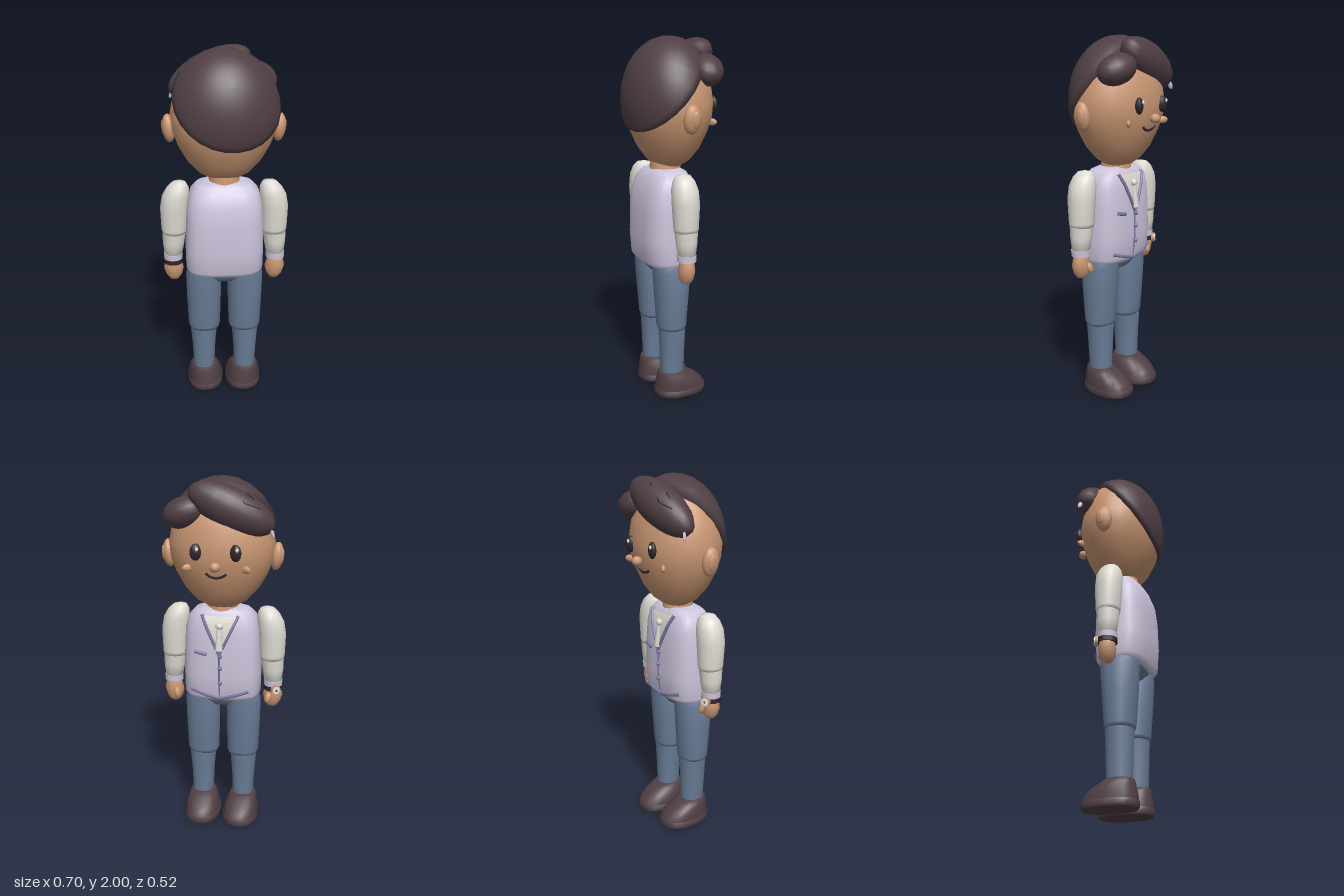
import * as THREE from 'three';

const mat = (name, color, side = THREE.FrontSide) => {
  const m = new THREE.MeshStandardMaterial({ color, side });
  m.name = name;
  return m;
};

export function createModel() {
  const group = new THREE.Group();
  const M = {
    skin: mat('skin', 0xcb9874),
    hair: mat('hair and shoes', 0x503f44),
    dark: mat('dark', 0x30262b),
    vest: mat('vest', 0xcdc5dc),
    trim: mat('vest trim', 0x7f7ba6),
    shirt: mat('shirt', 0xdedbd3, THREE.DoubleSide),
    trousers: mat('trousers', 0x687b95),
    white: mat('white', 0xf2f2f2),
  };

  const add = (name, geo, material, pos = [0, 0, 0], rot = [0, 0, 0], scale = [1, 1, 1]) => {
    const m = new THREE.Mesh(geo, material);
    m.name = name;
    m.position.set(...pos);
    m.rotation.set(...rot);
    m.scale.set(...scale);
    m.updateMatrixWorld(true);
    group.add(m);
    return m;
  };
  const ball = (name, material, pos, scale, rot, seg = 16) =>
    add(name, new THREE.SphereGeometry(1, seg, Math.ceil(seg * 0.7)), material, pos, rot, scale);

  // Closed surface from rings, ordered bottom to top
  const grid = (n, seg, fn) => {
    const p = [], idx = [];
    for (let i = 0; i < n; i++) {
      for (let j = 0; j < seg; j++) {
        p.push(...fn(i, (j / seg) * Math.PI * 2));
        if (i === n - 1) continue;
        const k = (j + 1) % seg, a = i * seg + j, c = i * seg + k;
        idx.push(a, a + seg, c, a + seg, c + seg, c);
      }
    }
    const g = new THREE.BufferGeometry();
    g.setAttribute('position', new THREE.Float32BufferAttribute(p, 3));
    g.setIndex(idx);
    g.computeVertexNormals();
    return g;
  };
  // Rows are [y, centre x, radius x, centre z, radius z]
  const loft = (rows, power = 2, seg = 16, side = 1) => grid(rows.length, seg, (i, a) => {
    const [y, x, rx, z, rz] = rows[i];
    const f = (v) => Math.sign(v) * Math.abs(v) ** (2 / power);
    return [x * side + rx * f(Math.cos(a)), y, z + rz * f(Math.sin(a))];
  });

  // Moves points along a direction until they rest on a mesh
  const hug = (mesh, pts, dir, lift) => pts.map((p) => {
    const d = new THREE.Vector3(...dir);
    const start = new THREE.Vector3(...p).addScaledVector(d, -1.5);
    const hit = new THREE.Raycaster(start, d).intersectObject(mesh)[0];
    return (hit ? hit.point : new THREE.Vector3(...p)).addScaledVector(d, -lift);
  });
  const tube = (name, pts, r, material, tension = 0.1) => add(name, new THREE.TubeGeometry(
    new THREE.CatmullRomCurve3(pts, false, 'catmullrom', tension), 16, r, 6), material);

  // Head; the face looks towards -z
  const headProfile = [[0.001, 1.3], [0.07, 1.305], [0.14, 1.345], [0.2, 1.41], [0.25, 1.5], [0.278, 1.58],
    [0.285, 1.66], [0.265, 1.77], [0.22, 1.86], [0.13, 1.93], [0.001, 1.96]];
  const head = add('head', loft(headProfile.map(([r, y]) => [y, 0, r, 0.012, r * 0.8]), 2, 28), M.skin);
  add('neck', new THREE.CylinderGeometry(0.08, 0.09, 0.1, 14), M.skin, [0, 1.3, 0.03]);
  ball('nose', M.skin, [0, 1.57, -0.232], [0.029, 0.026, 0.028], [0, 0, 0], 9);
  for (const s of [1, -1]) {
    ball('ear', M.skin, [s * 0.292, 1.585, 0.02], [0.034, 0.077, 0.048], [0, 0, s * -0.1], 14);
    ball('innerEar', M.skin, [s * 0.318, 1.585, 0.012], [0.012, 0.045, 0.026], [0, 0, s * -0.1], 10);
    ball('cheek', M.skin, [s * 0.15, 1.55, -0.172], [0.034, 0.02, 0.013], [0, s * 0.6, 0], 10);
    ball('eye', M.dark, [s * 0.103, 1.64, -0.206], [0.031, 0.044, 0.02], [0, s * 0.3, 0], 12);
    ball('eyeHighlight', M.white, [s * 0.103 - 0.009, 1.658, -0.224], [0.009, 0.011, 0.006], [0, 0, 0], 8);
  }
  tube('mouth', hug(head, [[-0.055, 1.528, 0], [-0.03, 1.512, 0], [0, 1.506, 0], [0.03, 1.512, 0],
    [0.055, 1.53, 0]], [0, 0, 1], 0.001), 0.007, M.dark, 0.5);

  // Hair: tilted cap with its rim turned inward, and two swept locks
  const tilt = new THREE.Quaternion().setFromUnitVectors(
    new THREE.Vector3(0, 1, 0), new THREE.Vector3(0.15, 0.65, 0.76).normalize());
  const capRows = 13;
  add('hairCap', grid(capRows, 24, (i, a) => {
    const t = 1.29 * (1 - Math.max(0, i - 1) / (capRows - 2)) + 1e-4;
    const d = new THREE.Vector3(Math.sin(t) * Math.cos(a), Math.cos(t), Math.sin(t) * Math.sin(a)).applyQuaternion(tilt);
    const r = (i === 0 ? 0.84 : 1) / Math.hypot(d.x / 0.3, d.y / 0.34, d.z / 0.25);
    return [d.x * r, 1.66 + d.y * r, 0.01 + d.z * r];
  }), M.hair);
  const lock = ball('largeHairLock', M.hair, [-0.07, 1.85, -0.125], [0.24, 0.108, 0.1], [0, 0.1, 0.43], 18);
  ball('smallHairLock', M.hair, [0.18, 1.825, -0.12], [0.115, 0.08, 0.09], [0, -0.2, -0.35], 16);
  const strands = [[[-0.22, 1.8, -0.165], [-0.15, 1.8, -0.195], [-0.04, 1.8, -0.17]],
    [[-0.185, 1.8, -0.15], [-0.15, 1.8, -0.148], [0.015, 1.8, -0.065]]];
  for (const pts of strands) tube('hairStrand', hug(lock, pts, [0, -1, 0], 0.001), 0.004, M.dark);
  ball('hairPin', M.vest, [-0.278, 1.73, -0.134], [0.008, 0.026, 0.013], [0.4, 0.5, -0.4], 8);

  // Vest
  const vest = add('vest', loft([[0.768, 0, 0.001, 0.05, 0.001], [0.77, 0, 0.19, 0.05, 0.115],
    [0.8, 0, 0.214, 0.05, 0.14], [0.92, 0, 0.216, 0.05, 0.15], [1.08, 0, 0.212, 0.05, 0.147],
    [1.18, 0, 0.205, 0.047, 0.138], [1.25, 0, 0.185, 0.04, 0.118], [1.285, 0, 0.15, 0.035, 0.095],
    [1.3, 0, 0.1, 0.035, 0.07], [1.301, 0, 0.001, 0.035, 0.001]], 3, 28), M.vest);
  const onVest = (pts, lift) => hug(vest, pts.map(([x, y]) => [x, y, 0]), [0, 0, 1], lift);
  const trimLine = (name, pts, r = 0.008) => tube(name, onVest(pts, 0.003), r, M.trim);

  // Shirt opening, laid over the vest row by row
  const rows = 8, panel = [], panelIdx = [];
  for (let i = 0; i <= rows; i++) {
    const y = 1.065 + (0.2 * i) / rows, w = 0.002 + (0.093 * i) / rows;
    for (const v of onVest([[-w, y], [0, y], [w, y]], 0.004)) panel.push(v.x, v.y, v.z);
    if (i === rows) continue;
    for (const k of [i * 3, i * 3 + 1]) panelIdx.push(k, k + 3, k + 1, k + 1, k + 3, k + 4);
  }
  const panelGeo = new THREE.BufferGeometry();
  panelGeo.setAttribute('position', new THREE.Float32BufferAttribute(panel, 3));
  panelGeo.setIndex(panelIdx);
  panelGeo.computeVertexNormals();
  add('shirtFront', panelGeo, M.shirt);
  ball('tieKnot', M.shirt, [0, 1.215, -0.095], [0.022, 0.02, 0.018], [0, 0, 0], 8);
  add('tie', new THREE.CylinderGeometry(0.012, 0.022, 0.12, 8), M.shirt, [0, 1.14, -0.105], [0.1, 0, 0], [1, 1, 0.6]);

  for (const s of [1, -1]) {
    const edge = onVest([[s * 0.1, 1.27], [s * 0.075, 1.215], [s * 0.04, 1.14], [0, 1.055]], 0.008);
    tube('lapelEdge', edge, 0.009, M.trim);
    trimLine('vestHem', [[s * 0.16, 0.835], [s * 0.08, 0.812], [0, 0.79]], 0.01);
  }
  trimLine('frontSeam', [[0, 1.055], [0, 0.92], [0, 0.79]], 0.005);
  trimLine('pocket', [[0.07, 1.05], [0.14, 1.062]], 0.01);
  for (const y of [1.045, 0.975, 0.89]) ball('button', M.trim, [-0.005, y, -0.105], [0.013, 0.013, 0.012], [0, 0, 0], 8);

  // Trousers top
  add('trouserSeat', loft([[0.72, 0, 0.001, 0.05, 0.001], [0.722, 0, 0.08, 0.05, 0.07],
    [0.76, 0, 0.16, 0.05, 0.1], [0.8, 0, 0.19, 0.05, 0.11]], 2.5, 18), M.trousers);

  // Limbs, mirrored
  for (const s of [1, -1]) {
    const limb = (name, material, r, power = 2, seg = 14) => add(name, loft(r, power, seg, s), material);
    limb('upperSleeve', M.shirt, [[0.985, 0.275, 0.001, 0.045, 0.001], [1.0, 0.276, 0.066, 0.045, 0.064],
      [1.02, 0.276, 0.071, 0.045, 0.067], [1.15, 0.274, 0.077, 0.046, 0.075], [1.22, 0.264, 0.074, 0.046, 0.073],
      [1.265, 0.252, 0.06, 0.046, 0.06], [1.292, 0.245, 0.038, 0.046, 0.04], [1.3, 0.243, 0.001, 0.046, 0.001]]);
    limb('lowerSleeve', M.shirt, [[0.865, 0.285, 0.001, 0.045, 0.001], [0.866, 0.285, 0.049, 0.045, 0.048],
      [0.94, 0.282, 0.06, 0.045, 0.058], [1.02, 0.277, 0.066, 0.045, 0.064]]);
    add('cuff', new THREE.CylinderGeometry(0.053, 0.052, 0.034, 14), M.vest, [s * 0.286, 0.857, 0.045]);
    limb('hand', M.skin, [[0.71, 0.282, 0.001, 0.045, 0.001], [0.718, 0.282, 0.027, 0.045, 0.025],
      [0.745, 0.283, 0.046, 0.045, 0.04], [0.785, 0.285, 0.056, 0.045, 0.046], [0.82, 0.286, 0.048, 0.045, 0.042],
      [0.85, 0.286, 0.038, 0.045, 0.036]], 2, 10);
    ball('thumb', M.skin, [s * 0.262, 0.775, 0.006], [0.02, 0.035, 0.02], [0.3, 0, s * -0.2], 8);

    limb('upperTrouserLeg', M.trousers, [[0.4, 0.115, 0.001, 0.05, 0.001], [0.405, 0.115, 0.083, 0.05, 0.075],
      [0.425, 0.116, 0.091, 0.05, 0.081], [0.6, 0.117, 0.097, 0.05, 0.095], [0.75, 0.118, 0.099, 0.05, 0.105],
      [0.8, 0.115, 0.08, 0.05, 0.1]], 2.2, 16);
    limb('lowerTrouserLeg', M.trousers, [[0.12, 0.12, 0.06, 0.047, 0.065], [0.28, 0.12, 0.067, 0.048, 0.07],
      [0.39, 0.12, 0.076, 0.048, 0.074], [0.42, 0.118, 0.078, 0.049, 0.075]], 2.2, 16);
    limb('shoeSole', M.hair, [[0, 0.113, 0.001, -0.005, 0.001], [0.001, 0.113, 0.097, -0.005, 0.142],
      [0.012, 0.113, 0.104, -0.005, 0.15], [0.04, 0.113, 0.104, -0.005, 0.15],
      [0.048, 0.113, 0.09, -0.005, 0.138]], 2.4, 18);
    limb('shoeUpper', M.hair, [[0.04, 0.114, 0.099, -0.003, 0.146], [0.07, 0.115, 0.098, 0.002, 0.138],
      [0.1, 0.117, 0.09, 0.016, 0.118], [0.125, 0.119, 0.08, 0.036, 0.094], [0.146, 0.12, 0.067, 0.05, 0.074],
      [0.147, 0.12, 0.001, 0.05, 0.001]], 2.3, 18);
  }

  // Wristwatch
  add('watchStrap', new THREE.CylinderGeometry(0.053, 0.053, 0.026, 14), M.dark, [-0.286, 0.83, 0.045]);
  const face = [Math.PI / 2, 0, -0.5];
  add('watchCase', new THREE.CylinderGeometry(0.028, 0.028, 0.016, 12), M.skin, [-0.306, 0.83, -0.009], face);
  add('watchDial', new THREE.CylinderGeometry(0.021, 0.021, 0.008, 12), M.white, [-0.31, 0.83, -0.016], face);
  ball('watchHub', M.dark, [-0.312, 0.83, -0.021], [0.006, 0.006, 0.004], [0, 0, 0], 8);

  return group;
}
